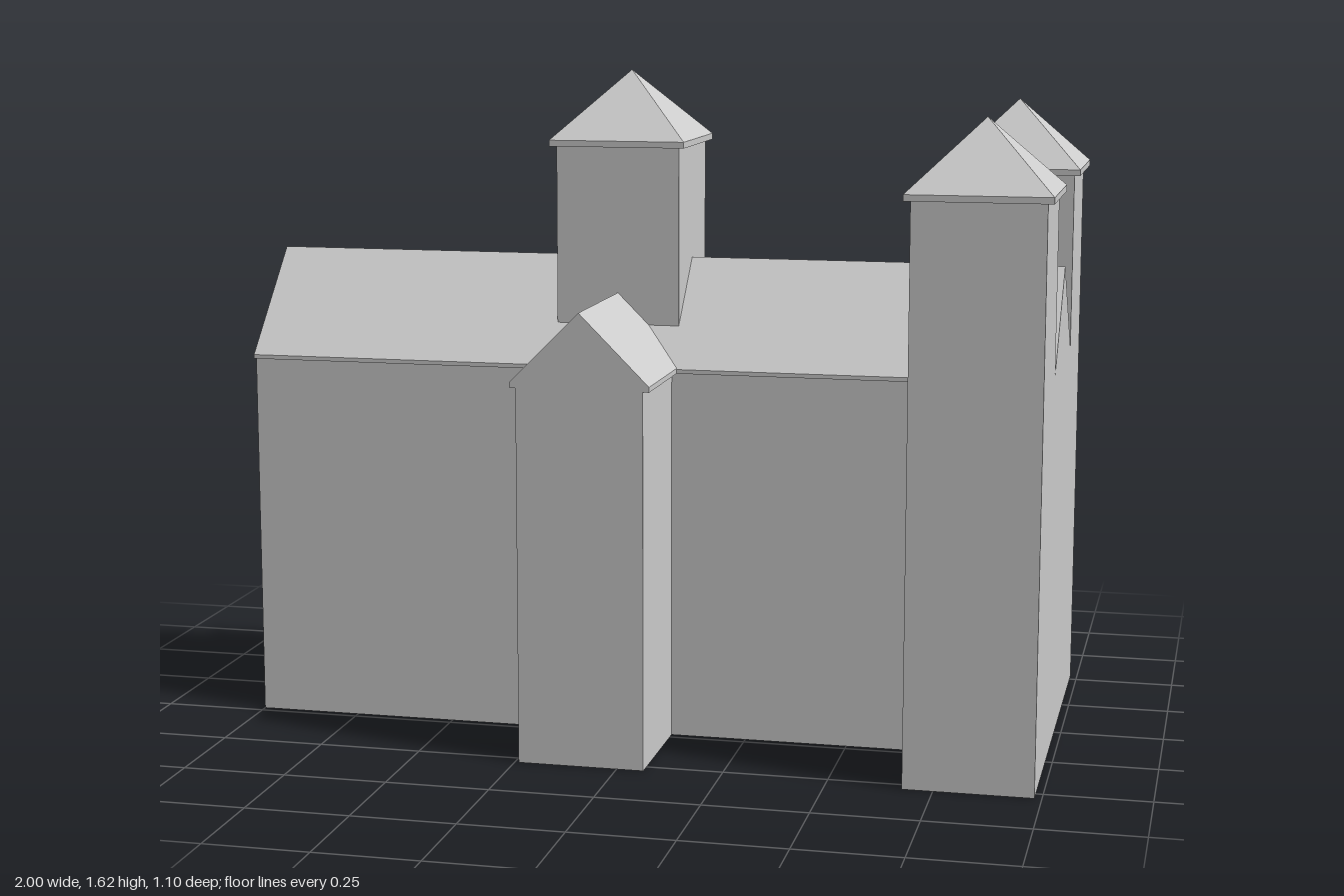
import * as THREE from 'three';

const stone = new THREE.MeshStandardMaterial({ color: 0xcccccc, side: THREE.DoubleSide });
stone.name = 'pale stone';

const EAVE = 0.905; // underside of the eaves
const LIP = 0.015; // overhang and thickness of every eave

// Open band of flat quads: a counter-clockwise line of points swept along +z
function band(points, depth, closed) {
  const pos = [];
  const count = closed ? points.length : points.length - 1;
  for (let i = 0; i < count; i++) {
    const [ax, ay] = points[i];
    const [bx, by] = points[(i + 1) % points.length];
    pos.push(ax, ay, 0, bx, by, 0, bx, by, depth);
    pos.push(ax, ay, 0, bx, by, depth, ax, ay, depth);
  }
  const geo = new THREE.BufferGeometry();
  geo.setAttribute('position', new THREE.Float32BufferAttribute(pos, 3));
  geo.computeVertexNormals();
  return geo;
}

function add(parent, geo, name, x = 0, y = 0, z = 0) {
  const mesh = new THREE.Mesh(geo, stone);
  mesh.name = name;
  mesh.position.set(x, y, z);
  parent.add(mesh);
  return mesh;
}

// Upright walls over a plan outline
function walls(parent, plan, y0, y1, name, x = 0, z = 0) {
  return add(parent, band(plan, y1 - y0, true).rotateX(-Math.PI / 2), name, x, y0, z);
}

// Pitched roof along z from z0 to z1, with gables at the chosen ends
function gableRoof(half, apex, z0, z1, frontGable, backGable, name) {
  const group = new THREE.Group();
  group.name = name;
  const profile = [
    [half - LIP, EAVE], [half, EAVE], [half, apex - half], [0, apex],
    [-half, apex - half], [-half, EAVE], [-half + LIP, EAVE],
  ];
  add(group, band(profile, z1 - z0, false), 'roofSlopes', 0, 0, z0);
  const gable = new THREE.ShapeGeometry(new THREE.Shape(profile.map(p => new THREE.Vector2(...p))));
  if (frontGable) add(group, gable, 'gable', 0, 0, z1);
  if (backGable) add(group, gable, 'gable', 0, 0, z0).rotation.y = Math.PI;
  return group;
}

// Square tower with an overhanging pyramid cap
function tower(x, z, y0, y1, name) {
  const group = new THREE.Group();
  group.name = name;
  const w = 0.1525;
  walls(group, [[-w, -w], [w, -w], [w, w], [-w, w]], y0, y1, 'towerWalls');
  const size = 2 * (w + LIP);
  add(group, new THREE.BoxGeometry(size, LIP, size), 'towerEave', 0, y1 + LIP / 2, 0);
  const height = 0.165;
  const cap = new THREE.ConeGeometry(size / Math.SQRT2, height, 4, 1, true).rotateY(Math.PI / 4).toNonIndexed();
  cap.computeVertexNormals();
  add(group, cap, 'towerCap', 0, y1 + LIP + height / 2, 0);
  group.position.set(x, 0, z);
  return group;
}

export function createModel() {
  const model = new THREE.Group();
  model.name = 'church';

  // One continuous outline: nave, transept arms and facade towers
  const half = [
    [-1, 0.23], [-0.24, 0.23], [-0.24, 0.533], [0.065, 0.533], [0.065, 0.23],
    [0.678, 0.23], [0.678, 0.535], [0.983, 0.535],
  ];
  const plan = [...half.map(([x, z]) => [x, -z]), ...half.slice().reverse()];
  walls(model, plan, 0, EAVE, 'outerWalls');

  // Nave roof runs along x
  const nave = gableRoof(0.245, 1.16, -1, 0.983, true, true, 'naveRoof');
  nave.rotation.y = Math.PI / 2;
  model.add(nave);

  // Transept roofs, one per arm
  const cross = -0.0875;
  for (const side of [1, -1]) {
    const arm = gableRoof(0.1675, 1.085, 0.075, 0.533, true, false, 'transeptRoof');
    arm.position.x = cross;
    arm.rotation.y = side > 0 ? 0 : Math.PI;
    model.add(arm);
    model.add(tower(0.8305, side * 0.3825, EAVE, 1.36, 'facadeTower'));
  }

  // Tower over the crossing
  model.add(tower(cross, 0, 1.0, 1.44, 'crossingTower'));
  return model;
}
